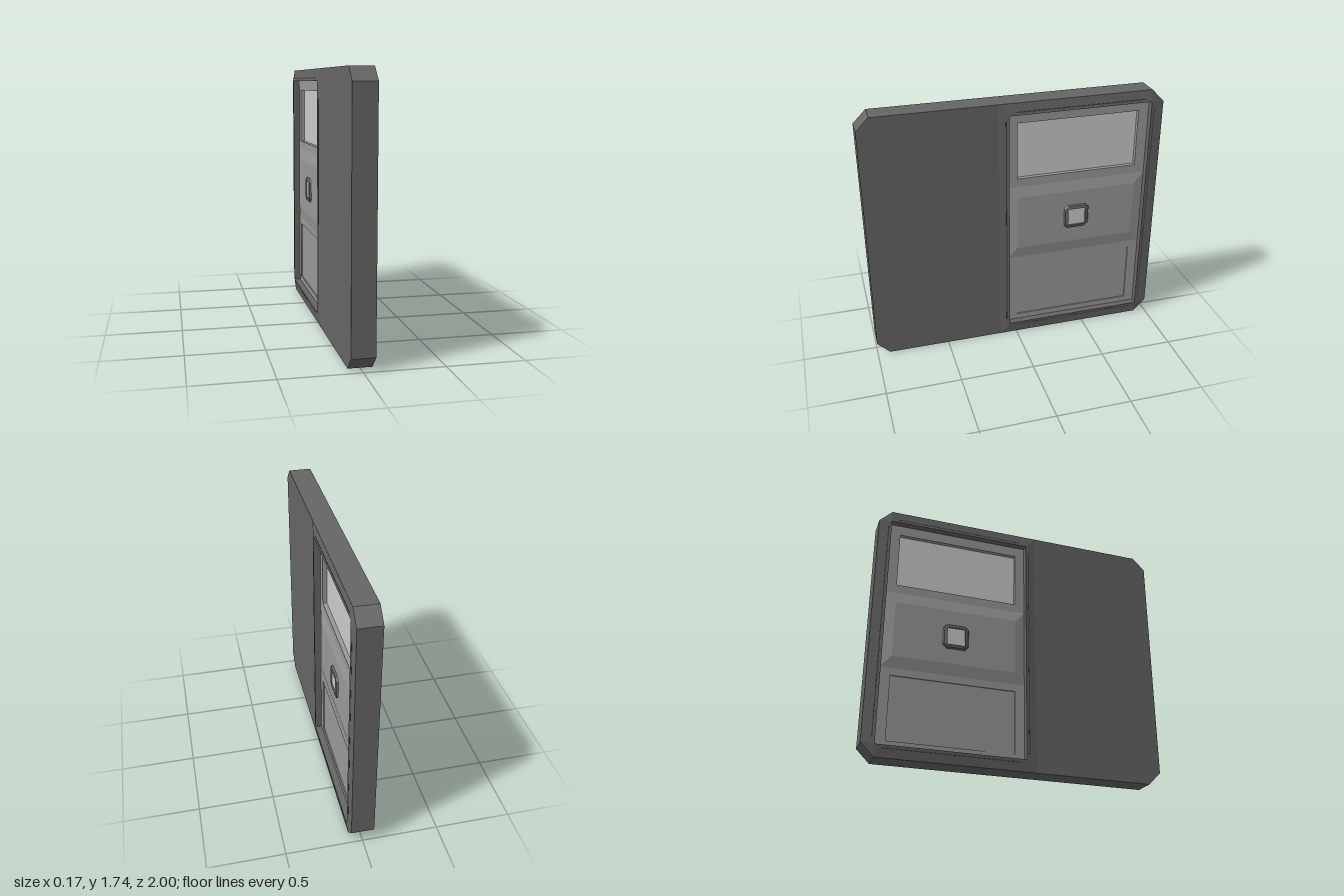
import * as THREE from 'three';

const dark = new THREE.MeshStandardMaterial({ color: 0x666666 });
const mid = new THREE.MeshStandardMaterial({ color: 0x999999 });
const light = new THREE.MeshStandardMaterial({ color: 0xcccccc });
const trim = new THREE.MeshStandardMaterial({ color: 0x444444 });

// Rectangle in the zy plane at height x, with cut corners at front (cf) and rear (cr)
function loop(x, zf, zr, y0, y1, cf = 0, cr = cf) {
  return [
    [x, y0 + cf, zf], [x, y0, zf - cf], [x, y0, zr + cr], [x, y0 + cr, zr],
    [x, y1 - cr, zr], [x, y1, zr + cr], [x, y1, zf - cf], [x, y1 - cf, zf],
  ];
}

// Flat-shaded skin over loops ordered outer to inner; side mirrors it across x
function skin(loops, side, cap) {
  const pos = [];
  const tri = (a, b, c) => {
    for (const p of side > 0 ? [a, b, c] : [a, c, b]) pos.push(p[0] * side, p[1], p[2]);
  };
  for (let k = 0; k < loops.length - 1; k++) {
    const a = loops[k], b = loops[k + 1];
    for (let i = 0; i < 8; i++) {
      const j = (i + 1) % 8;
      tri(a[i], a[j], b[j]);
      tri(a[i], b[j], b[i]);
    }
  }
  if (cap) {
    const l = loops[loops.length - 1];
    for (let i = 1; i < 7; i++) tri(l[0], l[i], l[i + 1]);
  }
  const g = new THREE.BufferGeometry();
  g.setAttribute('position', new THREE.Float32BufferAttribute(pos, 3));
  g.computeVertexNormals();
  return g;
}

export function createModel() {
  const model = new THREE.Group();
  const add = (parent, name, geometry, material) => {
    const m = new THREE.Mesh(geometry, material);
    m.name = name;
    parent.add(m);
    return m;
  };

  const H = 1.74, CUT = 0.085, T = 0.075;
  const F = 0.05, R = -0.915, B = 0.08, TOP = 1.66; // door opening

  // Wall slab with cut corners and the door opening
  const outline = (l) => l.map(([, y, z]) => new THREE.Vector2(-z, y));
  const shape = new THREE.Shape(outline(loop(0, 1, -1, 0, H, CUT)));
  shape.holes.push(new THREE.Path([[-F, B], [-F, TOP], [-R, TOP], [-R, B]].map((p) => new THREE.Vector2(...p))));
  const slab = new THREE.ExtrudeGeometry(shape, { depth: 2 * T, bevelEnabled: false });
  slab.translate(0, 0, -T).rotateY(Math.PI / 2);
  add(model, 'wall', slab, dark);

  for (const side of [1, -1]) {
    const face = new THREE.Group();
    face.name = side > 0 ? 'leftFace' : 'rightFace';
    model.add(face);

    // Sloped surround of the opening
    add(face, 'doorFrame', skin([
      loop(T, 0.12, -1, 0, H, 0, CUT),
      loop(0.085, F, R, B, TOP),
      loop(0.07, F, R, B, TOP),
    ], side), dark);

    // Narrow trim lines along the surround
    const midZ = (F + R) / 2, midY = (B + TOP) / 2;
    for (const [y, z, h, d] of [
      [midY, F + 0.02, 1.5, 0.007], [midY, R - 0.02, 1.5, 0.007],
      [TOP + 0.02, midZ, 0.007, 0.88], [B - 0.02, midZ, 0.007, 0.88],
    ]) {
      add(face, 'frameLine', new THREE.BoxGeometry(0.01, h, d), trim).position.set(side * 0.0782, y, z);
    }

    // Door: window section, raised middle band, recessed lower panel
    const D = 0.04, zf = -0.015, zr = -0.845;
    add(face, 'doorUpper', skin([
      loop(D, F, R, 1.14, TOP),
      loop(D, zf, zr, 1.2, 1.59),
      loop(0.012, zf, zr, 1.2, 1.59),
    ], side), mid);
    add(face, 'window', skin([loop(0.012, zf, zr, 1.2, 1.59)], side, true), light);
    add(face, 'doorBand', skin([
      loop(D, F, R, 0.6, 1.14),
      loop(0.053, zf, zr, 0.68, 1.065),
    ], side, true), mid);
    add(face, 'doorLower', skin([
      loop(D, F, R, B, 0.6),
      loop(D, zf, zr, 0.12, 0.55),
      loop(0.032, zf, zr, 0.12, 0.55),
    ], side, true), mid);

    // Bevelled handle plate with a light centre
    add(face, 'handleRim', skin([
      loop(0.053, -0.345, -0.52, 0.785, 0.96, 0.025),
      loop(0.064, -0.352, -0.513, 0.792, 0.953, 0.022),
      loop(0.068, -0.372, -0.493, 0.812, 0.933, 0.004),
      loop(0.058, -0.372, -0.493, 0.812, 0.933, 0.004),
    ], side), dark);
    add(face, 'handleCentre', skin([loop(0.058, -0.372, -0.493, 0.812, 0.933, 0.004)], side, true), light);
  }
  return model;
}
